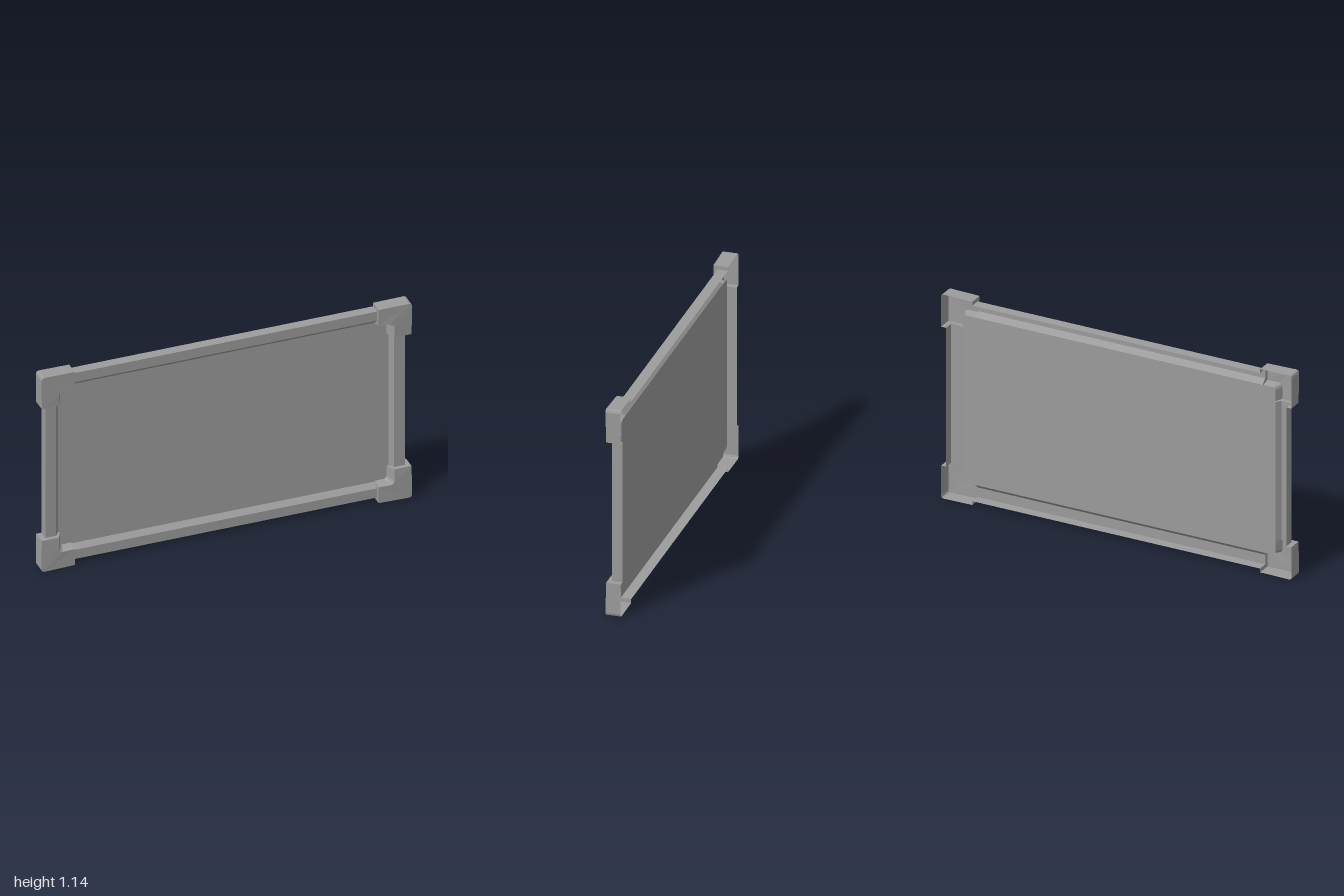
import * as THREE from 'three';

const MID = 0.57, BACK = -0.04, PANEL_Z = -0.012, RAIL_Z = 0.015, CORNER_Z = 0.04, CAP_END_Z = 0.037;
const material = new THREE.MeshStandardMaterial({ color: 0x9c9c9c, flatShading: true, side: THREE.DoubleSide });

// Skin a run of open cross-sections, each an array of [x, y, z]
function loft(sections, sx = 1, sy = 1) {
  const n = sections[0].length, pos = [], idx = [];
  sections.forEach(s => s.forEach(([x, y, z]) => pos.push(x * sx, y * sy, z)));
  for (let i = 0; i < sections.length - 1; i++) {
    for (let j = 0; j < n - 1; j++) {
      const a = i * n + j, b = a + 1, c = a + n, d = c + 1;
      if (sx * sy > 0) idx.push(a, b, c, b, d, c);
      else idx.push(a, c, b, b, c, d);
    }
  }
  const g = new THREE.BufferGeometry();
  g.setAttribute('position', new THREE.Float32BufferAttribute(pos, 3));
  g.setIndex(idx);
  const flat = g.toNonIndexed();
  flat.computeVertexNormals();
  return flat;
}

// Open-backed channel: deep outer wall, front face, short sloped lip down to the panel
const channel = (outer, lip, foot, z) => [
  [...outer, BACK], [...outer, z], [...lip, z], [...foot, PANEL_Z]
];
const topRail = x => channel([x, 0.547], [x, 0.493], [x, 0.468], RAIL_Z);
const sideRail = y => channel([0.97, y], [0.912, y], [0.892, y], RAIL_Z);

export function createModel() {
  const group = new THREE.Group();
  group.name = 'frame';
  const add = (geometry, name) => {
    geometry.translate(0, MID, 0);
    const mesh = new THREE.Mesh(geometry, material);
    mesh.name = name;
    group.add(mesh);
  };

  // Rails
  for (const s of [1, -1]) {
    add(loft([topRail(-0.82), topRail(0.82)], 1, s), s > 0 ? 'topRail' : 'bottomRail');
    add(loft([sideRail(0.388), sideRail(-0.388)], s, 1), s > 0 ? 'leftRail' : 'rightRail');
  }

  // Raised corner caps, with step walls where they meet the rails
  const corner = [
    topRail(0.82),
    channel([0.82, 0.568], [0.82, 0.475], [0.82, 0.463], CAP_END_Z),
    channel([0.985, 0.57], [0.885, 0.475], [0.868, 0.463], CORNER_Z),
    channel([0.996, 0.566], [0.9, 0.468], [0.877, 0.457], CORNER_Z),
    channel([1, 0.555], [0.905, 0.455], [0.881, 0.447], CORNER_Z),
    channel([0.998, 0.388], [0.905, 0.388], [0.881, 0.388], CAP_END_Z),
    sideRail(0.388)
  ];
  for (const sx of [1, -1]) for (const sy of [1, -1]) {
    add(loft(corner, sx, sy), (sy > 0 ? 'top' : 'bottom') + (sx > 0 ? 'Left' : 'Right') + 'Corner');
  }

  // Panel with clipped corners, set just behind the rail faces
  const outline = [];
  for (const [sx, sy] of [[1, 1], [1, -1], [-1, -1], [-1, 1]]) {
    const run = [[0.875, 0.468], [0.888, 0.464], [0.892, 0.451]]
      .map(([x, y]) => new THREE.Vector2(x * sx, y * sy));
    outline.push(...(sx * sy > 0 ? run : run.reverse()));
  }
  const panel = new THREE.ShapeGeometry(new THREE.Shape(outline));
  panel.translate(0, 0, PANEL_Z);
  add(panel, 'panel');

  return group;
}
